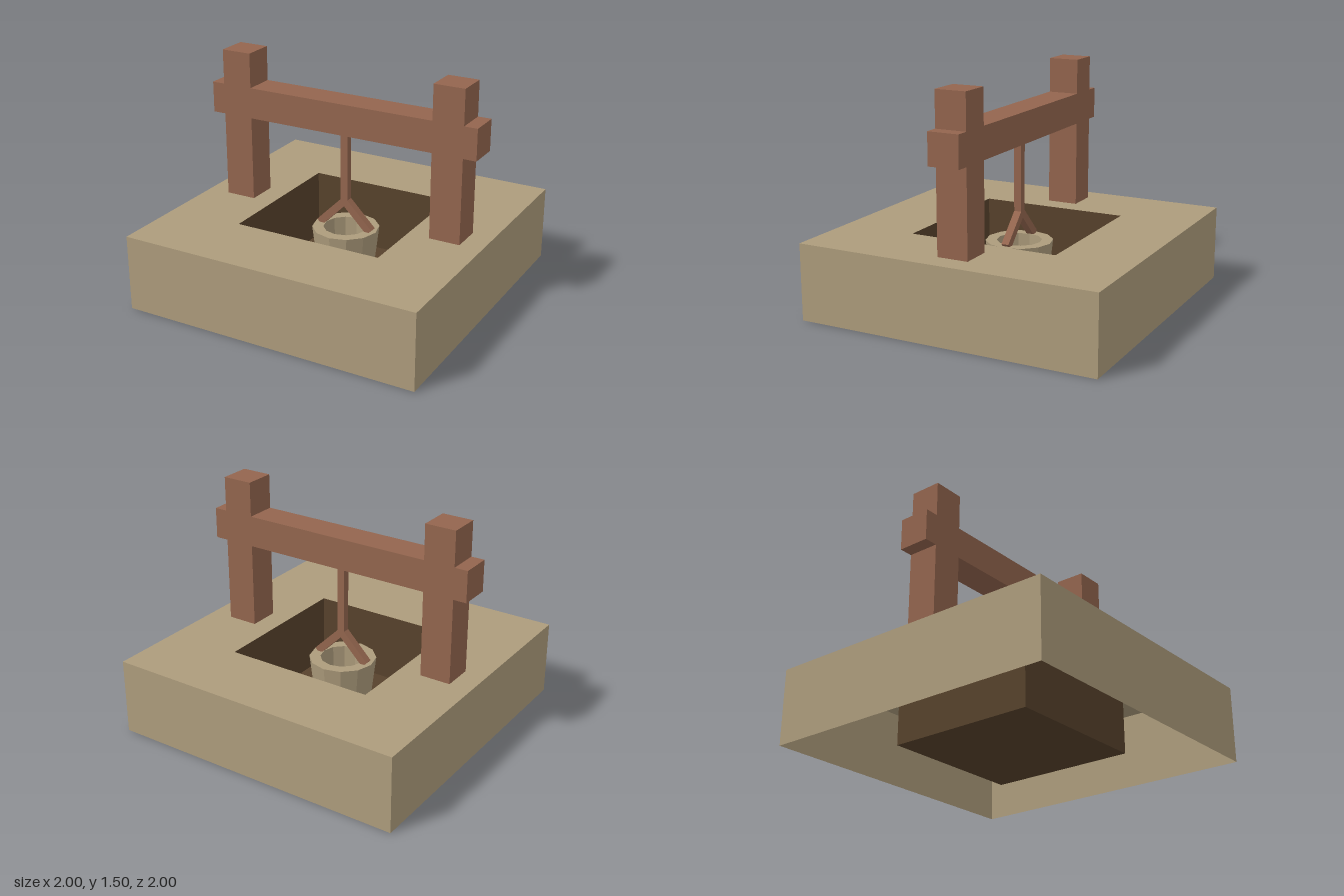
import * as THREE from 'three';

const material = (name, color) => {
  const m = new THREE.MeshStandardMaterial({ color, side: THREE.DoubleSide, flatShading: true });
  m.name = name;
  return m;
};

export function createModel() {
  const group = new THREE.Group();
  const stone = material('sandstone', 0xad9c7c);
  const wood = material('redBrownWood', 0x93654e);
  const earth = material('darkEarth', 0x57422c);

  const add = (name, geometry, mat, x = 0, y = 0, z = 0) => {
    const mesh = new THREE.Mesh(geometry, mat);
    mesh.name = name;
    mesh.position.set(x, y, z);
    group.add(mesh);
    return mesh;
  };

  // Four upright walls around a square, open at top and bottom
  const squareWalls = (half, height) => {
    const r = half * Math.SQRT2;
    return new THREE.CylinderGeometry(r, r, height, 4, 1, true).rotateY(Math.PI / 4);
  };

  const squarePath = (path, h) =>
    path.moveTo(-h, -h).lineTo(h, -h).lineTo(h, h).lineTo(-h, h).closePath();

  // Hollow base: outer walls and a top with a square opening, no underside
  add('baseWalls', squareWalls(1, 0.5), stone, 0, 0.25);
  const top = new THREE.Shape();
  squarePath(top, 1);
  const opening = new THREE.Path();
  squarePath(opening, 0.5);
  top.holes.push(opening);
  add('baseTop', new THREE.ShapeGeometry(top).rotateX(-Math.PI / 2), stone, 0, 0.5);

  // Dark shaft below the opening
  add('shaftWalls', squareWalls(0.5, 0.47), earth, 0, 0.265);
  add('shaftFloor', new THREE.PlaneGeometry(1, 1).rotateX(-Math.PI / 2), earth, 0, 0.03);

  // Frame: two posts sunk into the base, and a crossbeam
  for (const s of [-1, 1]) {
    add(s > 0 ? 'leftPost' : 'rightPost', new THREE.BoxGeometry(0.205, 1.25, 0.205), wood, s * 0.75, 0.875);
  }
  add('crossbeam', new THREE.BoxGeometry(1.88, 0.205, 0.205), wood, 0, 1.167);

  // Hanger: straight bar splitting into two slanted arms
  add('hangerBar', new THREE.BoxGeometry(0.05, 0.52, 0.05), wood, 0, 0.83);
  for (const s of [-1, 1]) {
    const arm = add(s > 0 ? 'leftHangerArm' : 'rightHangerArm',
      new THREE.BoxGeometry(0.05, 0.26, 0.05), wood, s * 0.092, 0.492);
    arm.rotation.z = s * Math.PI / 4;
  }

  // Twelve-sided bucket with a thick wall and slight taper
  const profile = [[0, 0.1], [0.185, 0.1], [0.22, 0.4], [0.147, 0.4], [0.14, 0.16], [0, 0.16]]
    .map(([r, y]) => new THREE.Vector2(r, y));
  add('bucket', new THREE.LatheGeometry(profile, 12), stone);

  return group;
}
